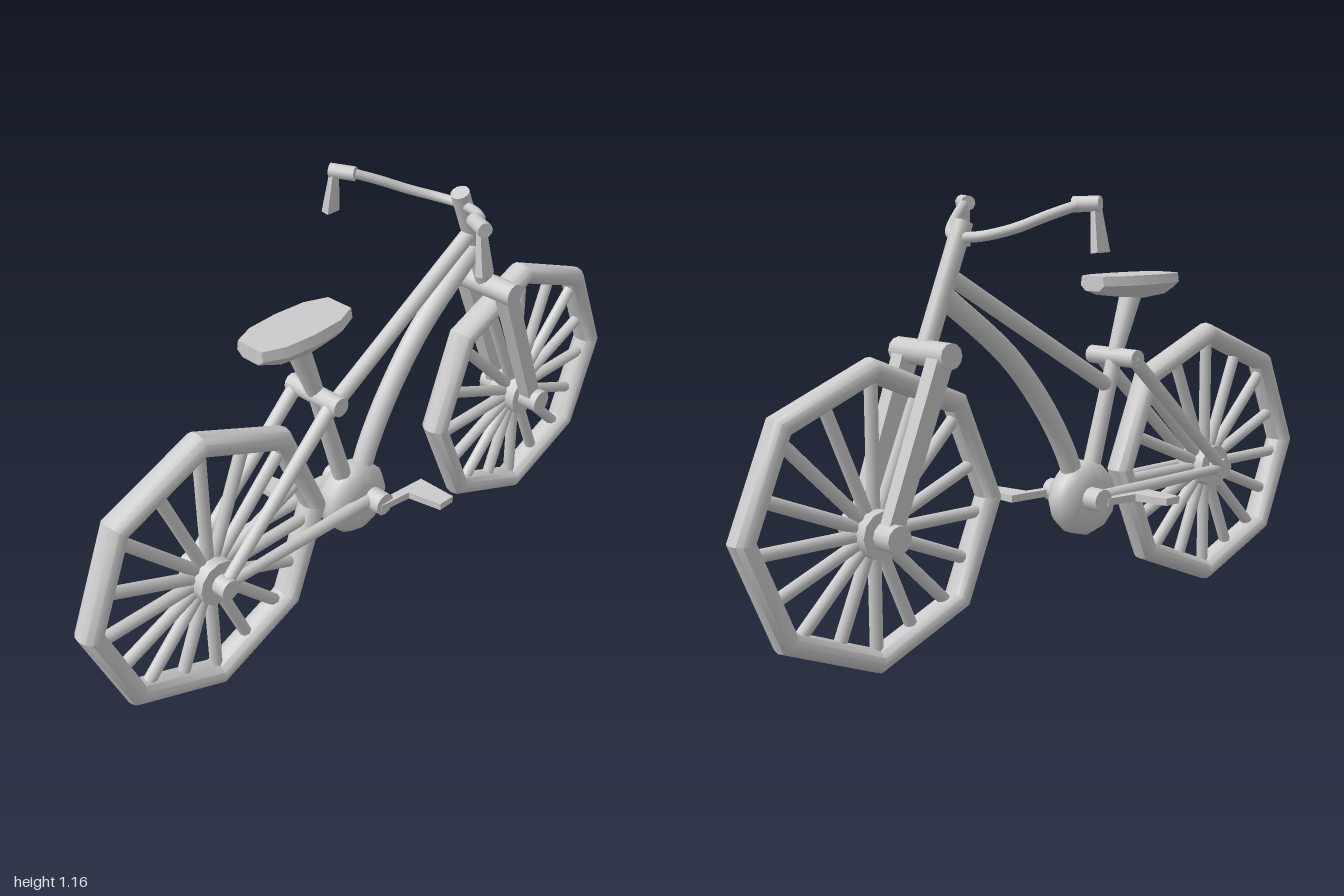
import * as THREE from 'three';
import { toCreasedNormals } from 'three/addons/utils/BufferGeometryUtils.js';

const MID = 0.01; // z of the frame's middle plane
const V = (x, y, z = MID) => new THREE.Vector3(x, y, z);
const UP = new THREE.Vector3(0, 1, 0);

export function createModel() {
  const model = new THREE.Group();
  const mat = new THREE.MeshStandardMaterial({ color: 0xcccccc });

  const add = (name, geo, parent = model) => {
    const mesh = new THREE.Mesh(geo, mat);
    mesh.name = name;
    parent.add(mesh);
    return mesh;
  };
  // Round bar from a to b, radius ra at a and rb at b
  const rod = (name, a, b, ra, rb = ra, sides = 12, parent = model) => {
    const mesh = add(name, new THREE.CylinderGeometry(rb, ra, a.distanceTo(b), sides), parent);
    mesh.position.copy(a).add(b).multiplyScalar(0.5);
    mesh.quaternion.setFromUnitVectors(UP, b.clone().sub(a).normalize());
    return mesh;
  };
  // Cross bar along z
  const cross = (name, x, y, half, r) => rod(name, V(x, y, MID - half), V(x, y, MID + half), r);
  // Box between heights that is larger at one end
  const taperedBox = (w, h, d, topScaleX, topScaleZ) => {
    const geo = new THREE.BoxGeometry(w, h, d);
    const p = geo.attributes.position;
    for (let i = 0; i < p.count; i++)
      if (p.getY(i) > 0) p.setXYZ(i, p.getX(i) * topScaleX, p.getY(i), p.getZ(i) * topScaleZ);
    geo.computeVertexNormals();
    return geo;
  };

  // Wheels: eight-sided tyre, hub a little below its centre, sixteen spokes
  const WHEEL_X = 0.607, WHEEL_Y = 0.394, HUB_Y = 0.358;
  const drop = HUB_Y - WHEEL_Y;
  for (const [name, x] of [['rearWheel', -WHEEL_X], ['frontWheel', WHEEL_X]]) {
    const wheel = new THREE.Group();
    wheel.name = name;
    wheel.position.set(x, WHEEL_Y, MID);
    model.add(wheel);
    const tyre = new THREE.TorusGeometry(0.3615, 0.0315, 12, 8).scale(1, 1, 1.3);
    add('tyre', toCreasedNormals(tyre, 0.72), wheel);
    rod('hub', V(0, drop, -0.045), V(0, drop, 0.045), 0.062, 0.062, 12, wheel);
    for (let i = 0; i < 16; i++) {
      const a = (i * Math.PI) / 8, s = Math.sin(a), c = Math.cos(a);
      const reach = -drop * s + Math.sqrt(0.345 ** 2 - (drop * c) ** 2);
      rod('spoke', V(0, drop, 0), V(c * reach, drop + s * reach, 0), 0.017, 0.017, 8, wheel);
    }
  }
  cross('rearAxle', -WHEEL_X, HUB_Y, 0.085, 0.028);
  cross('frontAxle', WHEEL_X, HUB_Y, 0.106, 0.035);

  // Fork and steerer
  cross('forkCrown', 0.444, 0.783, 0.106, 0.033);
  rod('steerer', V(0.318, 1.1), V(0.444, 0.785), 0.026);
  for (const s of [-1, 1]) {
    const a = V(WHEEL_X, HUB_Y, MID + s * 0.064), b = V(0.447, 0.783, MID + s * 0.07);
    const leg = add('forkLeg', taperedBox(0.046, a.distanceTo(b), 0.038, 1.1, 1.2));
    leg.position.copy(a).add(b).multiplyScalar(0.5);
    leg.quaternion.setFromUnitVectors(UP, b.sub(a).normalize());
  }

  // Frame
  rod('topTube', V(0.36, 0.965), V(-0.185, 0.643), 0.022);
  const downPath = new THREE.CatmullRomCurve3([
    V(0.385, 0.92), V(0.17, 0.75), V(0.045, 0.6), V(-0.03, 0.475), V(-0.07, 0.38)]);
  add('downTube', new THREE.TubeGeometry(downPath, 16, 0.029, 12));
  rod('seatTube', V(-0.12, 0.38), V(-0.22, 0.72), 0.026, 0.022);
  rod('seatPost', V(-0.22, 0.72), V(-0.285, 0.895), 0.022, 0.032);
  cross('seatClamp', -0.22, 0.718, 0.09, 0.026);
  for (const s of [-1, 1]) {
    const z = MID - 0.006 + s * 0.066;
    rod('seatStay', V(-WHEEL_X, HUB_Y, z), V(-0.22, 0.718, z), 0.016, 0.02);
    rod('chainStay', V(-WHEEL_X, HUB_Y, z), V(-0.08, 0.347, z), 0.014, 0.02);
  }

  // Crank drum and axle
  const drumProfile = [[0, -0.062], [0.055, -0.056], [0.09, -0.042], [0.105, -0.018],
    [0.105, 0.018], [0.09, 0.042], [0.055, 0.056], [0, 0.062]];
  const drum = add('crankDrum', new THREE.LatheGeometry(
    drumProfile.map(([r, h]) => new THREE.Vector2(r, h)), 12).rotateX(Math.PI / 2));
  drum.position.set(-0.096, 0.336, MID);
  cross('crankAxle', -0.075, 0.345, 0.106, 0.032);

  // Flat crank arms with pedals, half a turn apart
  const arm = new THREE.Shape([[0, 0.085], [0.166, 0.1], [0.166, 0.217], [0.115, 0.217],
    [0.095, 0.12], [0, 0.108]].map(([x, y]) => new THREE.Vector2(x, y)));
  for (const turn of [0, Math.PI]) {
    const geo = new THREE.ExtrudeGeometry(arm, { depth: 0.02, bevelEnabled: false })
      .rotateX(Math.PI / 2).translate(0, 0.01, 0).rotateY(turn);
    add('pedalArm', geo).position.set(-0.09, 0.34, MID);
  }

  // Seat: cross-sections along x as [x, half width, bottom y]
  const stations = [[-0.428, 0.046, 0.905], [-0.37, 0.073, 0.889], [-0.28, 0.08, 0.882],
    [-0.19, 0.073, 0.889], [-0.128, 0.045, 0.905]];
  const pos = [], idx = [];
  for (const [x, w, low] of stations)
    for (const [k, y] of [[-0.9, 0.946], [-1, 0.92], [-0.6, low], [0.6, low], [1, 0.92], [0.9, 0.946]])
      pos.push(x, y, 0.006 + k * w);
  for (let i = 0; i < 4; i++)
    for (let j = 0; j < 6; j++) {
      const a = i * 6 + j, b = i * 6 + ((j + 1) % 6);
      idx.push(a, b, a + 6, b, b + 6, a + 6);
    }
  for (let j = 1; j < 5; j++) idx.push(0, j + 1, j, 24, 24 + j, 25 + j);
  const seat = new THREE.BufferGeometry();
  seat.setAttribute('position', new THREE.Float32BufferAttribute(pos, 3));
  seat.setIndex(idx);
  // Face the surface outwards whichever way the sections wind
  const [p0, p1, p2] = [0, 1, 6].map((i) => new THREE.Vector3().fromArray(pos, i * 3));
  const outward = p1.clone().sub(p0).cross(p2.sub(p0)).dot(p0.clone().sub(V(-0.28, 0.91, 0.006)));
  if (outward < 0) seat.setIndex(idx.reverse());
  add('seat', toCreasedNormals(seat, 0.6));

  // Handlebar, grips and brake levers
  const half = [[0.14, 1.143, 0.222], [0.2, 1.117, 0.176], [0.265, 1.085, 0.123], [0.312, 1.067, 0.065]];
  const barPath = new THREE.CatmullRomCurve3([
    ...half.map(([x, y, z]) => V(x, y, -z)), V(0.33, 1.062, 0),
    ...half.slice().reverse().map(([x, y, z]) => V(x, y, z))]);
  add('handlebar', new THREE.TubeGeometry(barPath, 32, 0.0135, 10));
  for (const s of [-1, 1]) {
    rod('grip', V(0.143, 1.143, s * 0.203), V(0.112, 1.145, s * 0.266), 0.02, 0.02, 10);
    const lever = add('brakeLever', taperedBox(0.044, 0.11, 0.024, 0.55, 0.6));
    lever.position.set(0.114, 1.081, s * 0.261);
    lever.rotation.x = -s * 0.14;
  }
  return model;
}
